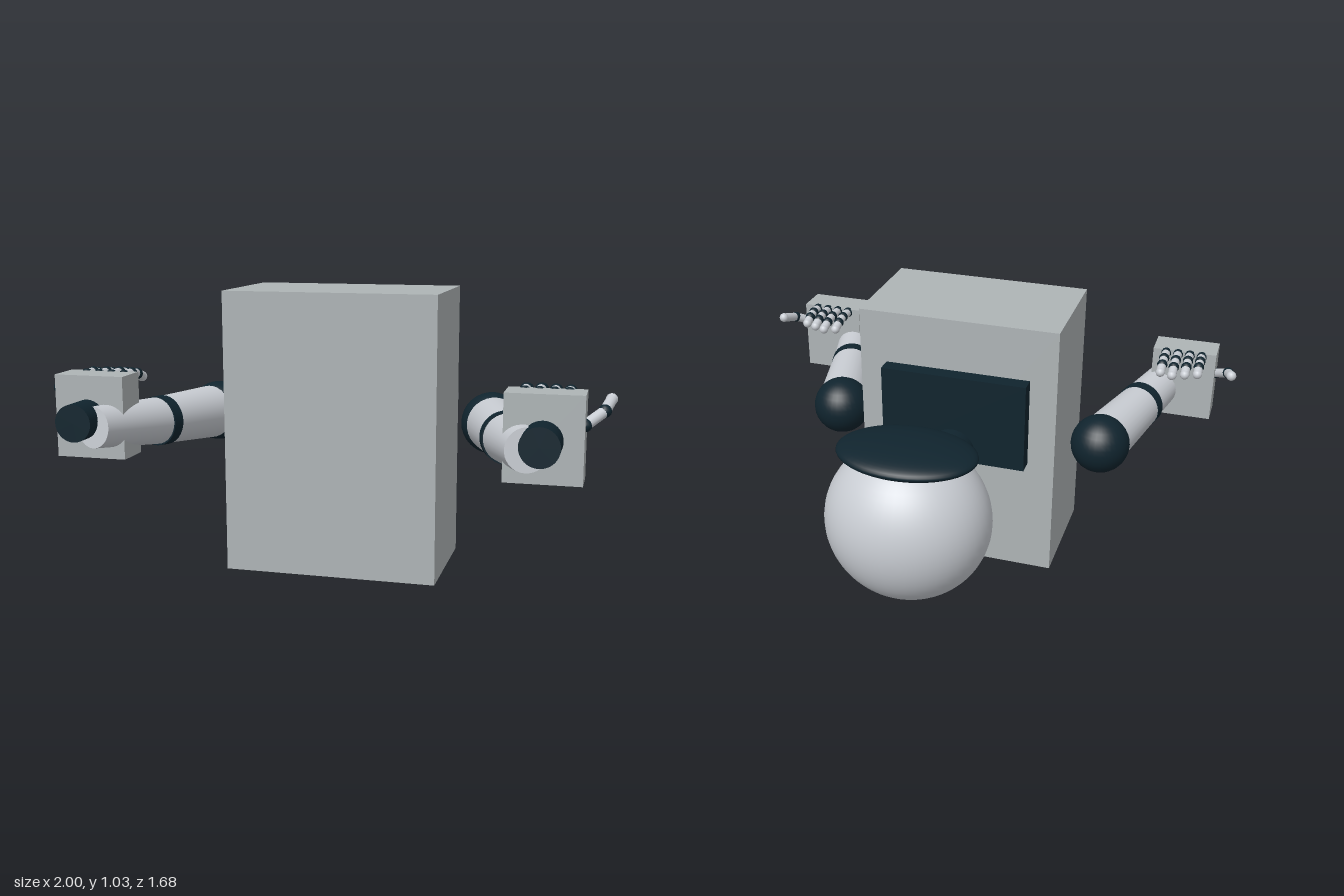
import * as THREE from 'three';

const mat = (name, color) => Object.assign(new THREE.MeshStandardMaterial({ color }), { name });

export function createModel() {
  const block = mat('block grey', 0xaeb4b6);
  const shell = mat('shell white', 0xc8ccd2);
  const dark = mat('dark navy', 0x10242e);
  const root = new THREE.Group();
  root.name = 'robotUpperBody';

  const add = (parent, name, geometry, material, p = [0, 0, 0], scale = [1, 1, 1]) => {
    const mesh = new THREE.Mesh(geometry, material);
    mesh.name = name;
    mesh.position.set(...p);
    mesh.scale.set(...scale);
    parent.add(mesh);
    return mesh;
  };
  const box = (parent, name, material, min, max) => add(parent, name,
    new THREE.BoxGeometry(...max.map((v, i) => v - min[i])), material,
    max.map((v, i) => (v + min[i]) / 2));
  const ball = (parent, name, material, p, r, seg = 32) =>
    add(parent, name, new THREE.SphereGeometry(r, seg, seg / 2), material, p);
  // Tapered cylinder from a to b
  const limb = (parent, name, material, a, b, ra, rb, seg = 32) => {
    const A = new THREE.Vector3(...a), B = new THREE.Vector3(...b);
    const dir = B.clone().sub(A);
    const mesh = add(parent, name, new THREE.CylinderGeometry(rb, ra, dir.length(), seg), material,
      A.clone().add(B).multiplyScalar(0.5).toArray());
    mesh.quaternion.setFromUnitVectors(new THREE.Vector3(0, 1, 0), dir.normalize());
    return mesh;
  };

  // Torso, back plate and neck
  box(root, 'torso', block, [-0.39, 0, -0.016], [0.39, 1.03, 0.445]);
  box(root, 'backPlate', dark, [-0.285, 0.47, -0.076], [0.285, 0.825, -0.014]);
  limb(root, 'neck', dark, [0, 0.515, -0.02], [0, 0.515, -0.36], 0.09, 0.09);

  // Head with its oval visor
  add(root, 'head', new THREE.SphereGeometry(1, 48, 32), shell, [0, 0.51, -0.572], [0.298, 0.295, 0.267]);
  add(root, 'visor', new THREE.SphereGeometry(1, 48, 24), dark, [0, 0.771, -0.572], [0.251, 0.044, 0.176]);

  // A finger: dark joints, pale segments and a pale rounded tip
  const digit = (parent, name, points, r) => {
    const group = new THREE.Group();
    group.name = name;
    parent.add(group);
    points.forEach((p, i) => {
      const last = i === points.length - 1;
      ball(group, last ? 'tip' : 'joint', last ? shell : dark, p, last ? r * 0.9 : r, 16);
      if (!last) limb(group, 'segment', shell, p, points[i + 1], r * 0.84, r * 0.84, 16);
    });
  };

  for (const side of [1, -1]) {
    const arm = new THREE.Group();
    arm.name = side > 0 ? 'leftArm' : 'rightArm';
    root.add(arm);
    const m = (x, y, z) => [side * x, y, z];

    // Shoulder, upper arm, elbow band and forearm
    ball(arm, 'shoulder', dark, m(0.54, 0.535, 0.116), 0.114);
    limb(arm, 'upperArm', shell, m(0.54, 0.535, 0.116), m(0.635, 0.552, 0.45), 0.103, 0.087);
    limb(arm, 'elbowBand', dark, m(0.63, 0.551, 0.438), m(0.642, 0.553, 0.48), 0.091, 0.09);
    limb(arm, 'forearm', shell, m(0.638, 0.553, 0.465), m(0.737, 0.582, 0.783), 0.086, 0.072);

    // Wrist and palm
    limb(arm, 'wrist', dark, m(0.78, 0.604, 0.735), m(0.78, 0.604, 0.843), 0.065, 0.065);
    const palm = box(arm, 'palm', block, [0.653, 0.46, 0.592], [0.908, 0.75, 0.72]);
    palm.position.x *= side;

    // Four fingers curling away from the palm
    [[0.706, 0.45], [0.754, 0.435], [0.802, 0.455], [0.85, 0.475]].forEach(([x, end], i) => {
      const z = (t) => THREE.MathUtils.lerp(0.595, end, t);
      digit(arm, 'finger' + (i + 1), [m(x, 0.735, z(0)), m(x, 0.736, z(0.4)),
        m(x, 0.728, z(0.72)), m(x, 0.712, z(1))], 0.021);
    });

    // Thumb
    digit(arm, 'thumb', [m(0.905, 0.645, 0.655), m(0.962, 0.682, 0.592), m(0.98, 0.708, 0.51)], 0.022);
  }
  return root;
}
